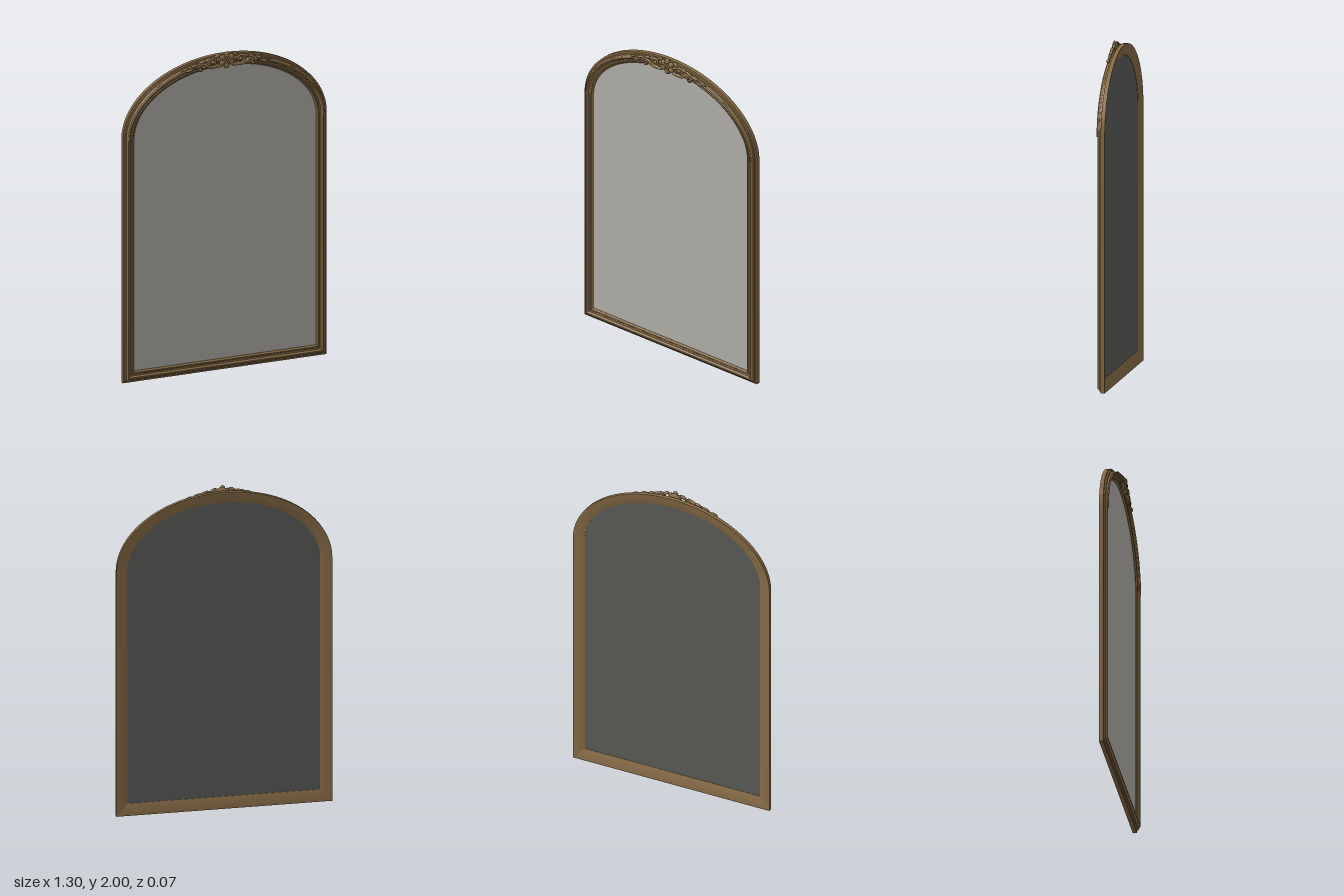
import * as THREE from 'three';
import { toCreasedNormals } from 'three/addons/utils/BufferGeometryUtils.js';

const HALF_W = 0.65, SPRING = 1.52, RISE = 0.455, STEPS = 56;

// Point on the arch at angle a, moved inward by d
function archPoint(a, d) {
  const n = new THREE.Vector2(Math.cos(a) / HALF_W, Math.sin(a) / RISE).normalize();
  return new THREE.Vector2(HALF_W * Math.cos(a) - d * n.x, SPRING + RISE * Math.sin(a) - d * n.y);
}

// Whole outline, anticlockwise, moved inward by d with mitred lower corners
function outline(d) {
  const pts = [new THREE.Vector2(d - HALF_W, d), new THREE.Vector2(HALF_W - d, d)];
  for (let i = 0; i <= STEPS; i++) pts.push(archPoint(Math.PI * i / STEPS, d));
  return pts;
}

// Sweep a closed [inset, z] section around the outline
function sweepFrame(section) {
  const rings = section.map(([d, z]) => outline(d).map(p => [p.x, p.y, z]));
  const pos = [];
  for (let j = 0; j < rings.length; j++) {
    const r = rings[j], s = rings[(j + 1) % rings.length];
    for (let i = 0; i < r.length; i++) {
      const k = (i + 1) % r.length;
      pos.push(...r[i], ...r[k], ...s[k], ...r[i], ...s[k], ...s[i]);
    }
  }
  const g = new THREE.BufferGeometry();
  g.setAttribute('position', new THREE.Float32BufferAttribute(pos, 3));
  return toCreasedNormals(g, 0.4);
}

// Tube along [x, y, z] points that tapers from r0 to r1
function taperedTube(points, r0, r1, seg = 36) {
  const curve = new THREE.CatmullRomCurve3(points.map(p => new THREE.Vector3(...p)));
  const radial = 8;
  const g = new THREE.TubeGeometry(curve, seg, r0, radial, false);
  const p = g.attributes.position, v = new THREE.Vector3();
  for (let i = 0; i < p.count; i++) {
    const u = Math.floor(i / (radial + 1)) / seg;
    const c = curve.getPointAt(u);
    v.fromBufferAttribute(p, i).sub(c).multiplyScalar(1 + (r1 / r0 - 1) * u).add(c);
    p.setXYZ(i, v.x, v.y, v.z);
  }
  g.computeVertexNormals();
  return g;
}

// Points of a flat spiral curling inward
function spiral(cx, cy, r, start, turns, z) {
  const pts = [];
  for (let i = 0; i <= 14; i++) {
    const t = i / 14, a = start + turns * Math.PI * 2 * t, q = r * (1 - 0.8 * t);
    pts.push([cx + q * Math.cos(a), cy + q * Math.sin(a), z]);
  }
  return pts;
}

export function createModel() {
  const model = new THREE.Group();
  const wood = new THREE.MeshStandardMaterial({ color: 0x8a6e48 });
  wood.name = 'antique gold wood';
  const glass = new THREE.MeshStandardMaterial({ color: 0xb2b0ab });
  glass.name = 'silver glass';
  const backing = new THREE.MeshStandardMaterial({ color: 0x5c5c59 });
  backing.name = 'dark backing';

  function add(parent, name, geometry, material = wood) {
    const m = new THREE.Mesh(geometry, material);
    m.name = name;
    parent.add(m);
    return m;
  }

  // Moulded frame: stepped front, bevelled back
  add(model, 'frame', sweepFrame([
    [0, -0.035], [0, -0.011], [0.009, -0.009], [0.011, -0.001], [0.017, 0.001],
    [0.021, 0.009], [0.027, 0.014], [0.035, 0.014], [0.040, 0.009], [0.043, 0.003],
    [0.052, 0.001], [0.056, 0.005], [0.062, 0.004], [0.066, -0.003], [0.070, -0.006],
    [0.070, -0.016], [0.006, -0.035],
  ]));

  // Raised bead along the arch
  const bead = [];
  for (let i = 0; i <= 40; i++) {
    const p = archPoint(Math.PI * i / 40, 0.031);
    bead.push([p.x, p.y, 0.013]);
  }
  add(model, 'archBead', taperedTube(bead, 0.006, 0.006, 80));

  // Mirror glass and its backing
  const pane = new THREE.ShapeGeometry(new THREE.Shape(outline(0.066)));
  add(model, 'mirrorGlass', pane, glass).position.z = -0.008;
  const back = add(model, 'backPanel', pane, backing);
  back.rotation.y = Math.PI;
  back.position.z = -0.014;

  // Carved crest
  const crest = new THREE.Group();
  crest.name = 'crest';
  model.add(crest);
  const ball = new THREE.SphereGeometry(1, 14, 10);
  function lobe(name, x, y, z, sx, sy, sz, rot = 0) {
    const m = add(crest, name, ball);
    m.position.set(x, y, z);
    m.scale.set(sx, sy, sz);
    m.rotation.z = rot;
  }

  // Central flower
  lobe('flowerBase', 0, 1.947, 0.012, 0.042, 0.042, 0.012);
  for (let i = 0; i < 6; i++) {
    const a = Math.PI / 2 + i * Math.PI / 3;
    lobe('petal', 0.032 * Math.cos(a), 1.948 + 0.032 * Math.sin(a), 0.022, 0.02, 0.017, 0.011, a);
    lobe('innerPetal', 0.014 * Math.cos(a + 0.5), 1.948 + 0.014 * Math.sin(a + 0.5), 0.026, 0.012, 0.007, 0.007, a + 0.5);
  }
  lobe('flowerCentre', 0, 1.948, 0.027, 0.009, 0.009, 0.008);
  lobe('flowerDrop', 0, 1.906, 0.016, 0.016, 0.013, 0.01);

  // Scrolls and leaves, mirrored left and right
  for (const s of [1, -1]) {
    const flip = pts => pts.map(([x, y, z]) => [s * x, y, z]);
    add(crest, 'largeScroll', taperedTube(flip([
      [0.035, 1.915, 0.014], [0.06, 1.912, 0.02], ...spiral(0.088, 1.944, 0.031, -1.9, 1.4, 0.021),
    ]), 0.010, 0.006, 60));
    add(crest, 'sweepingStem', taperedTube(flip([
      [0.075, 1.912, 0.019], [0.11, 1.915, 0.022], [0.145, 1.937, 0.022],
      [0.18, 1.938, 0.018], [0.225, 1.922, 0.015], [0.285, 1.908, 0.012],
    ]), 0.011, 0.003));
    add(crest, 'smallScroll', taperedTube(flip([
      [0.215, 1.918, 0.015], [0.195, 1.925, 0.018], ...spiral(0.168, 1.908, 0.018, 0.9, 1.2, 0.019),
    ]), 0.007, 0.004, 50));
    lobe('scrollEye', s * 0.088, 1.944, 0.022, 0.011, 0.011, 0.01);
    lobe('scrollBud', s * 0.168, 1.905, 0.018, 0.009, 0.009, 0.009);
    // Leaf tips: x, y, length, width, angle
    const leaves = [
      [0.058, 1.975, 0.022, 0.010, -0.5], [0.118, 1.958, 0.026, 0.010, -0.35],
      [0.135, 1.918, 0.026, 0.010, -0.2], [0.155, 1.95, 0.024, 0.008, -0.3],
      [0.205, 1.935, 0.024, 0.008, -0.3], [0.235, 1.908, 0.026, 0.008, -0.25],
      [0.262, 1.918, 0.022, 0.006, -0.3],
    ];
    for (const [x, y, l, w, a] of leaves) lobe('leaf', s * x, y, 0.015, l, w, 0.01, s * a);
  }
  return model;
}
